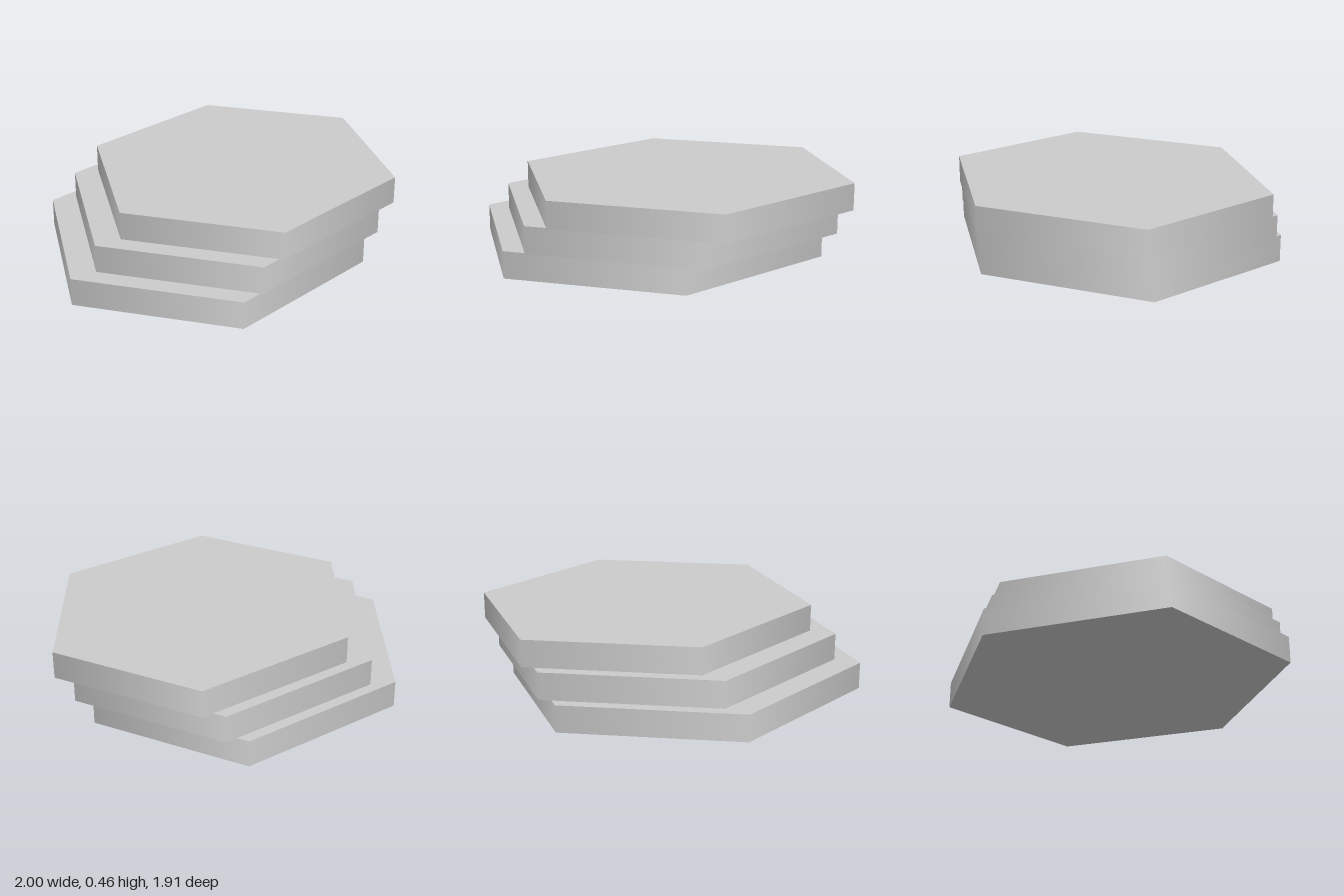
import * as THREE from 'three';

export function createModel() {
  const group = new THREE.Group();
  group.name = 'hexagonalSteps';
  const lightGrey = new THREE.MeshStandardMaterial({ color: 0xcccccc });
  lightGrey.name = 'lightGrey';

  const height = 0.154;
  // Slabs from bottom to top: name, centre x, centre z, half width, half depth
  const slabs = [
    ['bottomSlab', -0.065, 0.06, 0.935, 0.895],
    ['middleSlab', 0.023, -0.026, 0.908, 0.87],
    ['topSlab', 0.115, -0.11, 0.885, 0.845],
  ];
  slabs.forEach(([name, x, z, halfWidth, halfDepth], i) => {
    // Hexagonal prism with corners on the x axis and smooth side normals
    const geometry = new THREE.CylinderGeometry(1, 1, height, 6, 1, false, Math.PI / 2);
    geometry.scale(halfWidth, 1, halfDepth / Math.sin(Math.PI / 3));
    const slab = new THREE.Mesh(geometry, lightGrey);
    slab.name = name;
    slab.position.set(x, height * (i + 0.5), z);
    group.add(slab);
  });
  return group;
}
